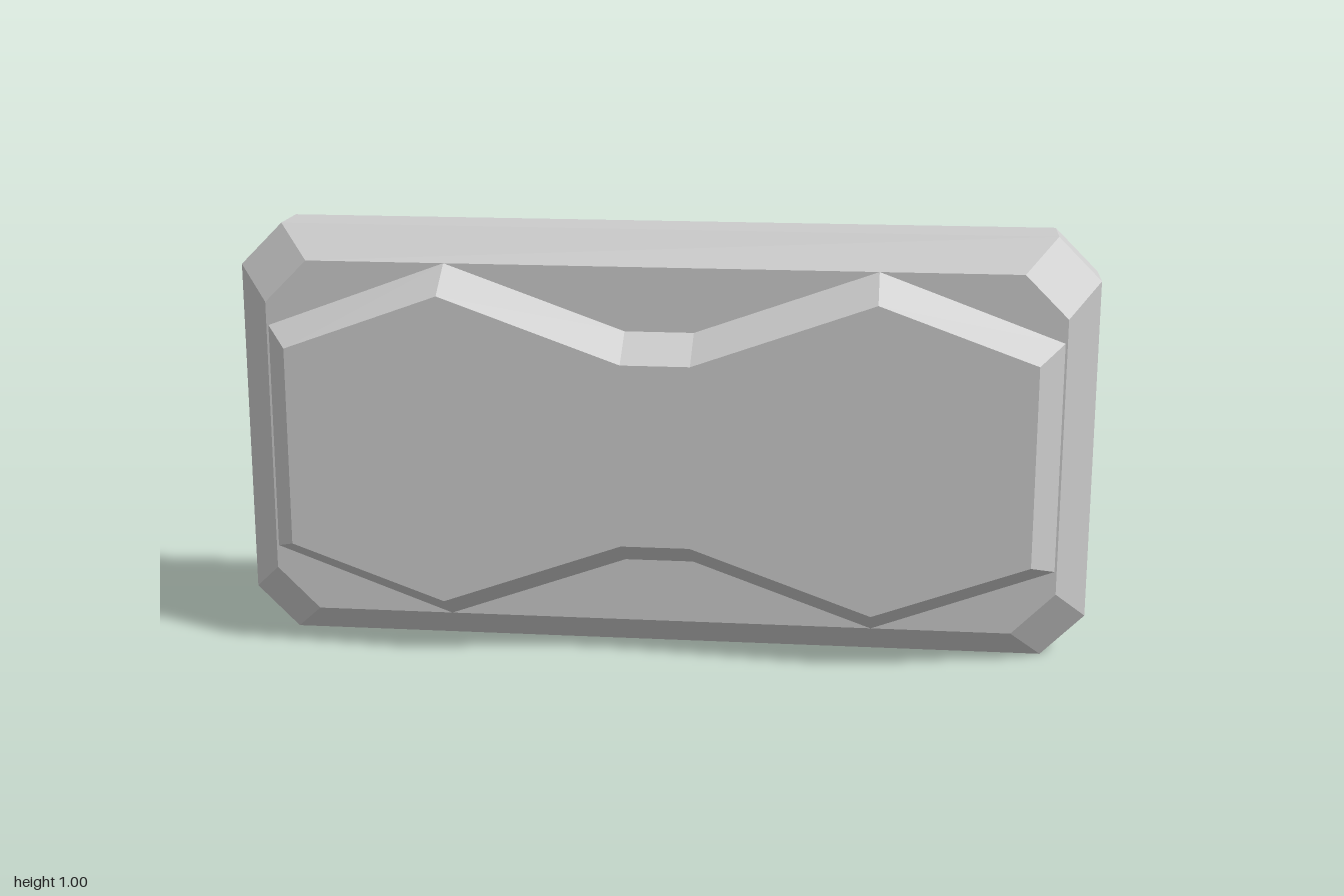
import * as THREE from 'three';

const MID = 0.5; // height of the horizontal symmetry axis

// Mirrors a counter-clockwise quarter outline into a full one
function mirrorQuarter(quarter) {
  const flip = (sx, sy) => quarter.map(([x, y]) => new THREE.Vector2(x * sx, y * sy));
  return [...flip(1, 1), ...flip(-1, 1).reverse(), ...flip(-1, -1), ...flip(1, -1).reverse()];
}

// Joins outlines from back to front into a closed, flat-shaded solid
function loft(sections) {
  const rings = sections.map(({ quarter, z }) =>
    mirrorQuarter(quarter).map((p) => new THREE.Vector3(p.x, p.y + MID, z)));
  const positions = [];
  const tri = (a, b, c) => [a, b, c].forEach((v) => positions.push(v.x, v.y, v.z));
  const cap = (ring, front) => {
    const outline = ring.map((v) => new THREE.Vector2(v.x, v.y));
    for (const [a, b, c] of THREE.ShapeUtils.triangulateShape(outline, [])) {
      if (front) tri(ring[a], ring[b], ring[c]);
      else tri(ring[c], ring[b], ring[a]);
    }
  };
  cap(rings[0], false);
  for (let r = 0; r < rings.length - 1; r++) {
    const back = rings[r], front = rings[r + 1];
    for (let i = 0; i < back.length; i++) {
      const j = (i + 1) % back.length;
      tri(back[i], back[j], front[j]);
      tri(back[i], front[j], front[i]);
    }
  }
  cap(rings[rings.length - 1], true);
  const geometry = new THREE.BufferGeometry();
  geometry.setAttribute('position', new THREE.Float32BufferAttribute(positions, 3));
  geometry.computeVertexNormals();
  return geometry;
}

export function createModel() {
  const group = new THREE.Group();
  group.name = 'bevelledPlaque';
  const material = new THREE.MeshStandardMaterial({ color: 0xcccccc, flatShading: true });
  const add = (name, geometry) => {
    const mesh = new THREE.Mesh(geometry, material);
    mesh.name = name;
    group.add(mesh);
    return mesh;
  };

  // Backing plate with clipped corners and a bevelled front edge
  const plate = [[1, 0.4], [0.9, 0.5]];
  add('backingPlate', loft([
    { quarter: plate, z: -0.095 },
    { quarter: plate, z: 0.03 },
    { quarter: [[0.925, 0.325], [0.825, 0.425]], z: 0.105 },
  ]));

  // Raised front panel with a notched waist and sloping sides
  add('raisedPanel', loft([
    { quarter: [[0.92, 0.27], [0.5, 0.425], [0.08, 0.275]], z: 0.105 },
    { quarter: [[0.86, 0.235], [0.5, 0.365], [0.08, 0.215]], z: 0.195 },
  ]));

  // Pyramid studs on the back
  const stud = new THREE.ConeGeometry(0.13 * Math.SQRT2, 0.1, 4, 1, true)
    .rotateY(Math.PI / 4)
    .rotateX(-Math.PI / 2);
  for (const [name, x] of [['leftStud', 0.5], ['rightStud', -0.5]]) {
    add(name, stud).position.set(x, MID, -0.145);
  }
  return group;
}
